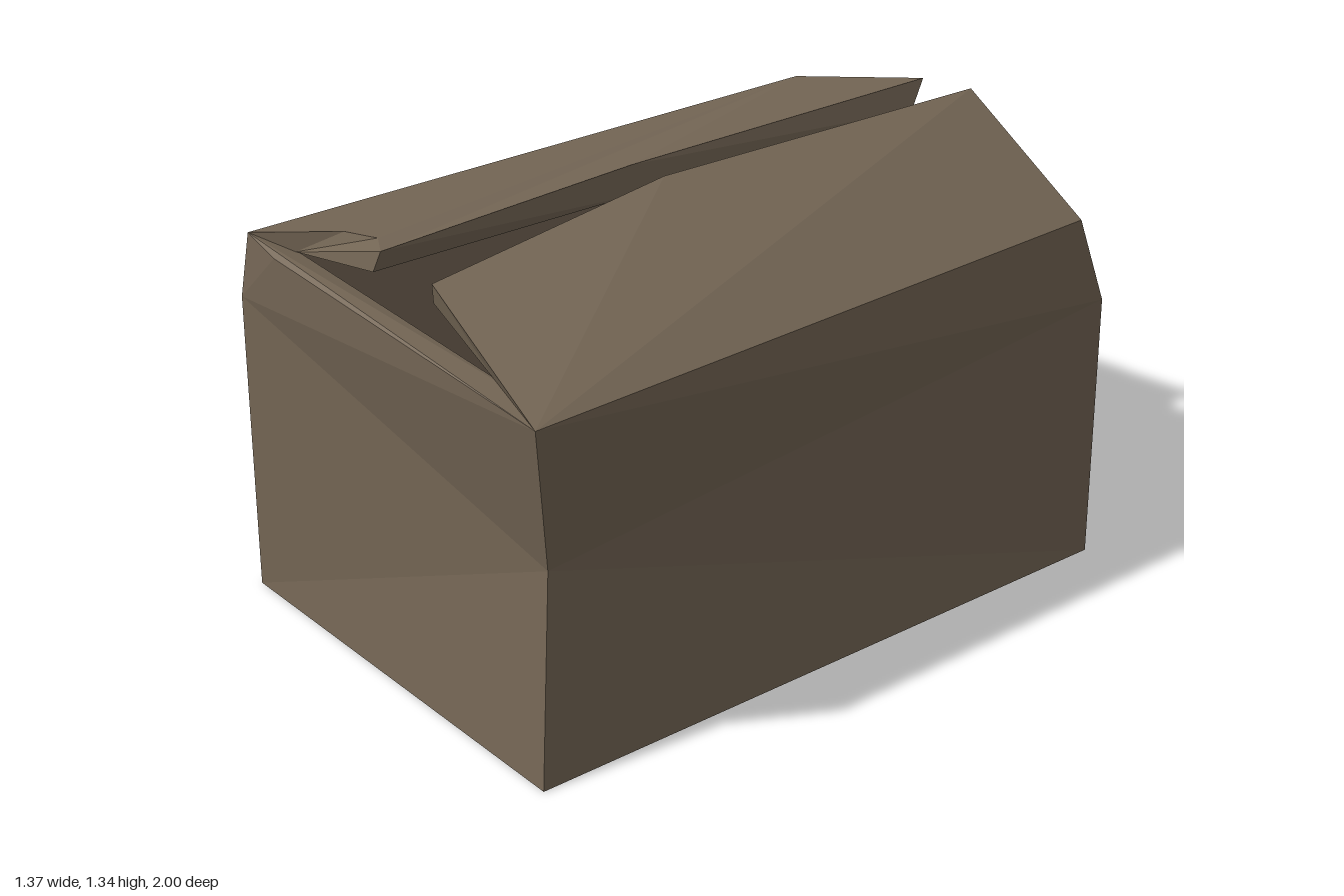
import * as THREE from 'three';

const cardboard = new THREE.MeshStandardMaterial({ color: 0x736554, flatShading: true });
cardboard.name = 'cardboard brown';

// Outer corners: first letter front/back, second letter left/right as seen from the front
const p = {
  fl: [-0.685, 0, 1], fr: [0.685, 0, 1], br: [0.685, 0, -1],
  flLow: [-0.685, 0.66, 1], flHigh: [-0.685, 0.92, 1],
  dent: [0.615, 0.6, 0.92], brHigh: [0.685, 0.82, -1],
  // top edge
  flTop: [-0.655, 1.12, 0.985], fTop: [-0.5, 1.1, 1], frTop: [0.685, 1.055, 1],
  brTop: [0.66, 1.08, -0.92], bTop: [0.38, 1.1, -1], blTop: [-0.65, 1.1, -1],
  // crushed bottom corner
  crush: [-0.673, 0.014, -0.985], crushX: [-0.52, 0, -1],
  crushY: [-0.685, 0.17, -1], crushZ: [-0.685, 0, -0.82],
};

// Mesh from polygons, each fanned out from its first corner
function panel(name, polygons, flip = false) {
  const pos = [];
  for (const poly of polygons) {
    for (let i = 1; i < poly.length - 1; i++) {
      const [b, c] = flip ? [poly[i + 1], poly[i]] : [poly[i], poly[i + 1]];
      pos.push(...poly[0], ...b, ...c);
    }
  }
  const geometry = new THREE.BufferGeometry();
  geometry.setAttribute('position', new THREE.Float32BufferAttribute(pos, 3));
  geometry.computeVertexNormals();
  const mesh = new THREE.Mesh(geometry, cardboard);
  mesh.name = name;
  return mesh;
}

// Wedge-shaped flap: thin at the hinge, thick at the free edge; lists run front to back
function flap(name, { hinge, upper, lower, root, bend = [], flip }) {
  const [hf, hb] = hinge, [u0, u1, u2] = upper, [l0, l1, l2] = lower, [rf, rb] = root;
  const top = bend.length ? [hb, hf, ...bend, u0, u1, u2] : [hf, u0, u1, u2, hb];
  const firstBend = bend[0] ?? u0;
  return panel(name, [
    top,
    [hf, rf, firstBend],
    [rf, l0, u0, ...bend.slice().reverse()],
    [u0, l0, l1, u1], [u1, l1, l2, u2],
    [u2, l2, rb, hb],
    [rf, rb, l2, l1, l0],
    [hf, hb, rb, rf],
  ], flip);
}

export function createModel() {
  const box = new THREE.Group();
  box.name = 'openCardboardBox';

  // Outside walls with dents and creases
  box.add(panel('frontWall', [
    [p.fl, p.fr, p.dent, p.flLow],
    [p.flHigh, p.flLow, p.dent, p.frTop],
    [p.flHigh, p.frTop, p.fTop],
    [p.flHigh, p.fTop, p.flTop],
  ]));
  box.add(panel('leftWall', [
    [p.dent, p.fr, p.br, p.brHigh, p.frTop],
    [p.frTop, p.brHigh, p.brTop],
  ]));
  box.add(panel('backWall', [
    [p.br, p.crushX, p.crushY, p.blTop, p.bTop, p.brHigh],
    [p.brHigh, p.bTop, p.brTop],
  ]));
  box.add(panel('rightWall', [
    [p.blTop, p.crushY, p.crushZ, p.fl, p.flLow, p.flHigh, p.flTop],
  ]));
  box.add(panel('crushedCorner', [
    [p.crushY, p.crush, p.crushZ], [p.crushX, p.crush, p.crushY], [p.crushZ, p.crush, p.crushX],
  ]));
  box.add(panel('bottom', [[p.fl, p.crushZ, p.crushX, p.br, p.fr]]));

  // Rim and hollow inside
  const rim = [[-0.61, 1.1, 0.92], [0.61, 1.06, 0.92], [0.61, 1.075, -0.91], [-0.61, 1.09, -0.92]];
  const floor = [[-0.61, 0.06, 0.86], [0.61, 0.06, 0.86], [0.61, 0.06, -0.88], [-0.61, 0.06, -0.88]];
  box.add(panel('rim', [
    [p.flTop, p.fTop, p.frTop, rim[1], rim[0]],
    [p.frTop, p.brTop, rim[2], rim[1]],
    [p.brTop, p.bTop, p.blTop, rim[3], rim[2]],
    [p.blTop, p.flTop, rim[0], rim[3]],
  ]));
  box.add(panel('innerWalls', rim.map((r, i) => {
    const j = (i + 1) % 4;
    return [r, rim[j], floor[j], floor[i]];
  })));
  box.add(panel('innerFloor', [floor]));

  // Two long lid flaps, half open
  box.add(flap('rightFlap', {
    hinge: [p.flTop, p.blTop],
    bend: [[-0.32, 1.21, 0.885], [-0.18, 1.235, 0.87]],
    upper: [[-0.085, 1.245, 0.925], [-0.078, 1.275, 0.1], [-0.05, 1.28, -0.97]],
    lower: [[-0.11, 1.18, 0.935], [-0.065, 1.19, 0.1], [-0.03, 1.2, -0.91]],
    root: [[-0.5, 1.1, 0.93], [-0.5, 1.095, -0.95]],
  }));
  box.add(flap('leftFlap', {
    hinge: [p.frTop, p.brTop],
    upper: [[0.11, 1.215, 0.9], [0.105, 1.31, 0.13], [0.2, 1.335, -0.92]],
    lower: [[0.085, 1.145, 0.88], [0.07, 1.235, 0.13], [0.165, 1.26, -0.9]],
    root: [[0.42, 1.07, 0.93], [0.45, 1.08, -0.89]],
    flip: true,
  }));
  return box;
}
